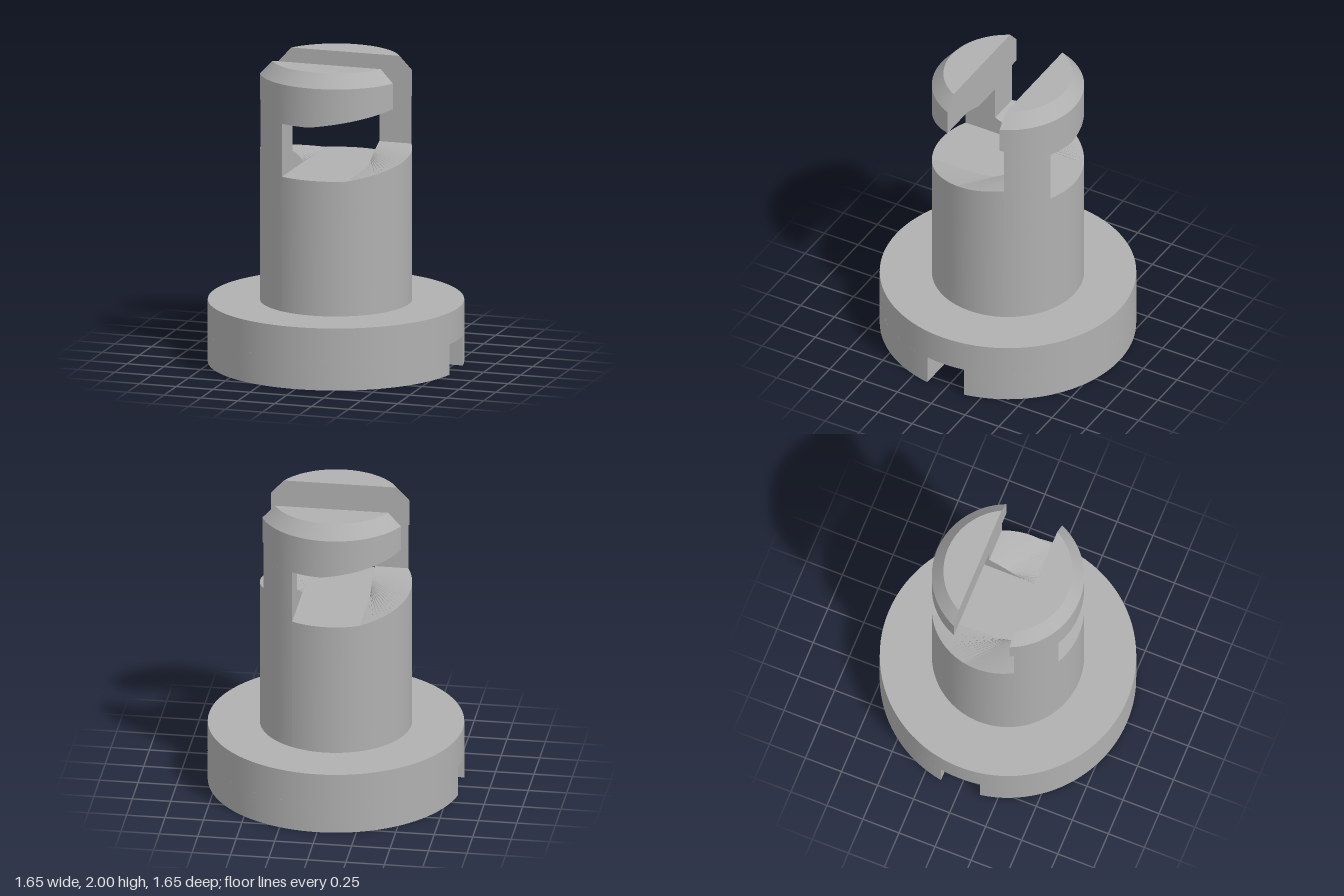
import * as THREE from 'three';
import { toCreasedNormals } from 'three/addons/utils/BufferGeometryUtils.js';

const R = 0.49, FLANGE_R = 0.825, TOP_R = 0.415;
const PIN = 0.22;              // half width of the bayonet channel
const SLOT = 0.193;            // half width of the top slot
const FLOOR = 1.3, CEIL = 1.65, RISE = 0.12, SLOT_END = 1.74;
const EDGE = Math.asin(PIN / R), QUARTER = Math.PI / 2;

// Angles run from the front (+z) towards +x.
const polar = (r, a) => [r * Math.sin(a), r * Math.cos(a)];
const range = (a, b, n) => Array.from({ length: n + 1 }, (_, i) => a + ((b - a) * i) / n);
const arc = (r, a, b, n) => range(a, b, n).map((t) => polar(r, t));

// Skin joining rows of points.
function skin(rows) {
  const pos = [];
  for (let i = 0; i < rows.length - 1; i++) {
    for (let j = 0; j < rows[i].length - 1; j++) {
      const a = rows[i][j], b = rows[i + 1][j], c = rows[i + 1][j + 1], d = rows[i][j + 1];
      pos.push(...a, ...b, ...c, ...a, ...c, ...d);
    }
  }
  const g = new THREE.BufferGeometry();
  g.setAttribute('position', new THREE.Float32BufferAttribute(pos, 3));
  return toCreasedNormals(g, Math.PI / 7);
}

const outline = (pts) => new THREE.Shape(pts.map(([x, z]) => new THREE.Vector2(x, -z)));

// Upright prism over an x-z outline.
function prism(pts, y0, y1) {
  const g = new THREE.ExtrudeGeometry(outline(pts), { depth: y1 - y0, bevelEnabled: false });
  g.rotateX(-QUARTER).translate(0, y0, 0);
  return toCreasedNormals(g, Math.PI / 7);
}

// Shaft wall over half a turn, its rim following the helical ramp.
function shaftWall() {
  const cols = [
    ...range(-EDGE, EDGE, 14).map((a) => [a, FLOOR]),
    ...range(0, 1, 24).map((t) => [EDGE + t * QUARTER, FLOOR + RISE * t]),
    ...range(EDGE + QUARTER, Math.PI - EDGE, 10).map((a) => [a, FLOOR]),
  ];
  return skin(cols.map(([a, top]) => {
    const [x, z] = polar(R, a);
    return [[x, 0.41, z], [x, top, z]];
  }));
}

// Ramp swept by the channel edge, with the small riser along its inner side.
function ramp() {
  const reach = Math.sqrt(R * R - PIN * PIN);
  return skin(range(0, 1, 24).map((t) => {
    const f = t * QUARTER, y = FLOOR + RISE * t;
    const at = (s) => [PIN * Math.cos(f) + s * Math.sin(f), s * Math.cos(f) - PIN * Math.sin(f)];
    const [ox, oz] = at(reach), [ix, iz] = at(PIN * Math.tan(f / 2));
    return [[ox, y, oz], [ix, y, iz], [ix, FLOOR, iz]];
  }));
}

// Chamfered head lobe with a rising underside.
function lobe() {
  const wide = Math.acos(SLOT / R), wideTop = Math.acos(SLOT / TOP_R), side = Math.acos(PIN / R);
  const under = (x, z) => {
    const a = Math.atan2(x, z) + 0.05;
    return Math.min(SLOT_END, CEIL + (RISE * Math.max(0, a)) / QUARTER);
  };
  const cols = [
    [-wide, true], [-side, true],
    ...range(-side, side, 40).map((a) => [a, false]),
    [side, true], [wide, true],
  ];
  const loops = cols.map(([a, high]) => {
    const [x, z] = polar(R, a), [tx, tz] = polar(TOP_R, (a / wide) * wideTop);
    const iz = Math.min(PIN, z);
    const low = (zz) => (high ? SLOT_END : under(x, zz));
    const belly = range(iz, z, 4).map((zz) => [x, low(zz), zz]);
    return [
      [x, low(z), z], [x, 1.91, z], [tx, 2, tz], [tx, 2, SLOT], [x, 1.91, SLOT],
      [x, SLOT_END, SLOT], [x, SLOT_END, iz], ...belly,
    ];
  });
  return skin(loops);
}

export function createModel() {
  const model = new THREE.Group();
  const grey = new THREE.MeshStandardMaterial({ color: 0xb0b0b0 });
  grey.name = 'grey';
  const add = (name, geometry, parent = model) => {
    const m = new THREE.Mesh(geometry, grey);
    m.name = name;
    parent.add(m);
    return m;
  };

  // Flange disc above the bottom slot
  const disc = add('flange', new THREE.CylinderGeometry(FLANGE_R, FLANGE_R, 0.21, 96));
  disc.position.y = 0.305;

  // Flat floor of the cross channel
  const floor = new THREE.ShapeGeometry(outline([
    ...arc(R, -EDGE, EDGE, 14), ...arc(R, Math.PI - EDGE, Math.PI + EDGE, 14),
  ]));
  add('channelFloor', floor.rotateX(-QUARTER).translate(0, FLOOR, 0));

  // Everything else repeats after half a turn
  const foot = Math.acos(0.135 / FLANGE_R);
  const footGeo = prism(arc(FLANGE_R, -foot, foot, 48), 0, 0.2);
  const postGeo = prism([[-PIN, PIN], ...arc(R, EDGE - QUARTER, -EDGE, 10)], FLOOR, CEIL);
  const wallGeo = shaftWall(), rampGeo = ramp(), lobeGeo = lobe();
  for (const [i, name] of ['frontHalf', 'backHalf'].entries()) {
    const half = new THREE.Group();
    half.name = name;
    half.rotation.y = i * Math.PI;
    add('flangeFoot', footGeo, half);
    add('shaftWall', wallGeo, half);
    add('helicalRamp', rampGeo, half);
    add('post', postGeo, half);
    add('headLobe', lobeGeo, half);
    model.add(half);
  }
  return model;
}
